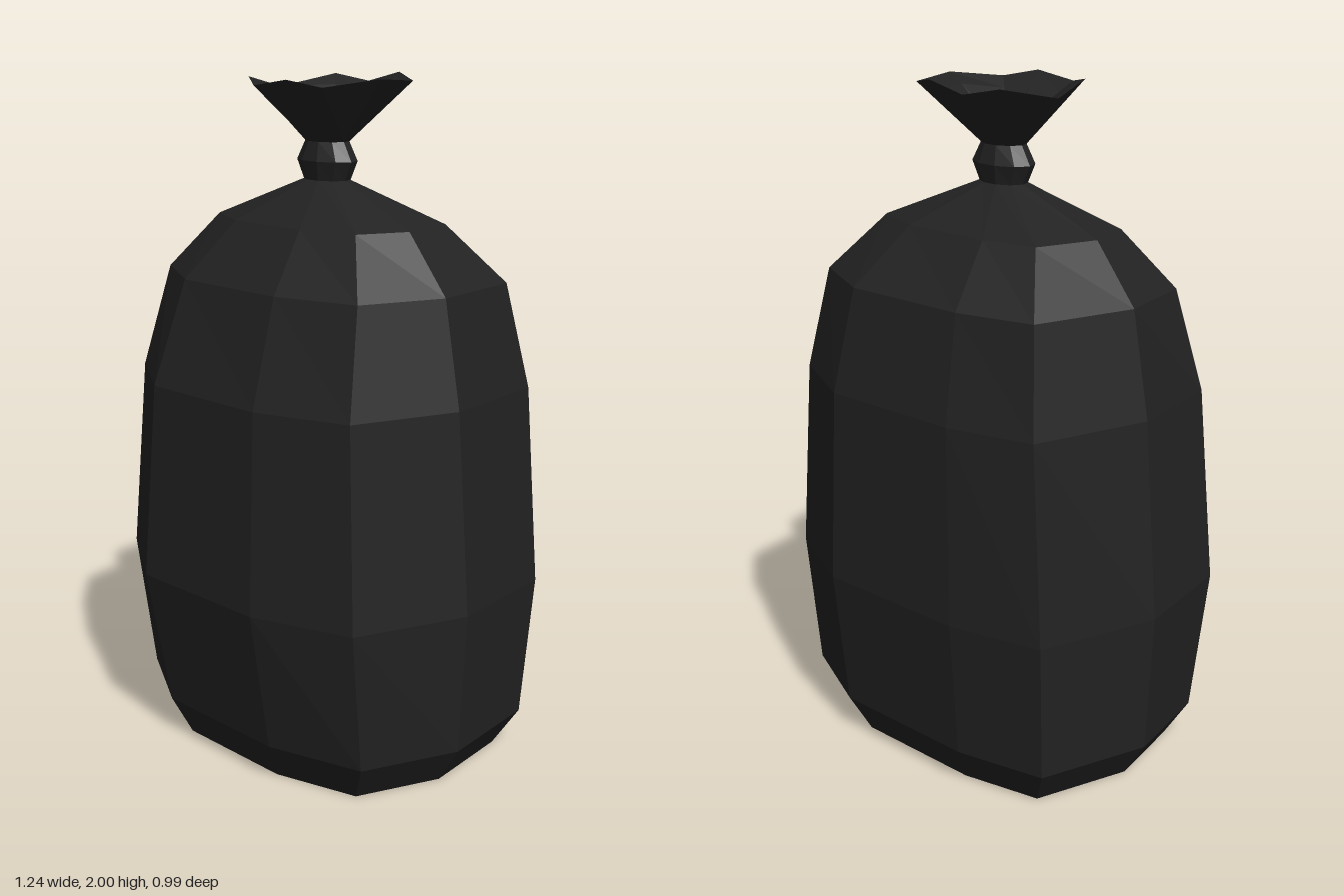
import * as THREE from 'three';

// Ten-sided bag outline [x, z], running from the left side round the front
const OUTLINE = [
  [1, -0.02], [0.86, 0.68], [0.38, 0.93], [-0.38, 1], [-0.86, 0.68],
  [-1, -0.02], [-0.86, -0.76], [-0.41, -0.93], [0.38, -1], [0.86, -0.76],
];
// Flared mouth of the gathered top [x, y, z]
const RIM = [
  [0.22, 1.99, -0.02], [0.17, 1.97, 0.145], [0.08, 1.99, 0.2], [-0.06, 1.97, 0.205], [-0.17, 1.99, 0.14],
  [-0.225, 1.955, -0.02], [-0.18, 1.99, -0.195], [-0.075, 1.97, -0.235], [0.055, 2, -0.24], [0.175, 1.98, -0.185],
];
const N = OUTLINE.length;

// One ring of the outline: height, half width, front and back reach
const ring = (y, w, front, back) =>
  OUTLINE.map(([x, z]) => [x * w, y, z > 0 ? z * front : z * back]);

// Evenly rounded ring for the neck
const roundRing = (y, rx, rz) => OUTLINE.map((_, i) => {
  const a = (i / N) * Math.PI * 2;
  return [Math.cos(a) * rx, y, -0.013 + Math.sin(a) * rz];
});

// Faceted skin through a list of rings, optionally closed at either end
function loft(name, rings, material, capStart, capEnd) {
  const index = [];
  const points = rings.flat();
  rings.slice(1).forEach((_, r) => {
    for (let i = 0; i < N; i++) {
      const a = r * N + i, b = r * N + (i + 1) % N;
      index.push(a, a + N, b + N, a, b + N, b);
    }
  });
  const last = (rings.length - 1) * N;
  for (let i = 1; i < N - 1; i++) {
    if (capStart) index.push(0, i, i + 1);
    if (capEnd) index.push(last, last + i + 1, last + i);
  }
  const indexed = new THREE.BufferGeometry();
  indexed.setAttribute('position', new THREE.Float32BufferAttribute(points.flat(), 3));
  indexed.setIndex(index);
  const geometry = indexed.toNonIndexed();
  geometry.computeVertexNormals();
  const mesh = new THREE.Mesh(geometry, material);
  mesh.name = name;
  return mesh;
}

export function createModel() {
  const black = new THREE.MeshStandardMaterial({ color: 0x222222 });
  black.name = 'black plastic';
  black.flatShading = true;

  const group = new THREE.Group();
  group.name = 'garbageBag';

  // Filled sack with a flat bottom
  group.add(loft('sack', [
    ring(0, 0.52, 0.365, 0.395),
    ring(0.115, 0.595, 0.42, 0.455),
    ring(0.535, 0.62, 0.495, 0.495),
    ring(1.115, 0.57, 0.46, 0.48),
    ring(1.42, 0.51, 0.36, 0.415),
    ring(1.585, 0.365, 0.215, 0.25),
    roundRing(1.7, 0.08, 0.058),
  ], black, true, false));

  // Bulging tie round the neck
  group.add(loft('neckTie', [
    roundRing(1.7, 0.08, 0.058),
    roundRing(1.755, 0.108, 0.07),
    roundRing(1.81, 0.075, 0.055),
  ], black, false, false));

  // Gathered top: flared outside, thick lip and hollow inside
  const lip = RIM.map(([x, y, z]) => [x * 0.77, y - 0.03, -0.018 + (z + 0.018) * 0.8]);
  group.add(loft('gatheredTop', [
    roundRing(1.81, 0.075, 0.055),
    RIM,
    lip,
    roundRing(1.84, 0.025, 0.025),
  ], black, false, true));

  return group;
}
